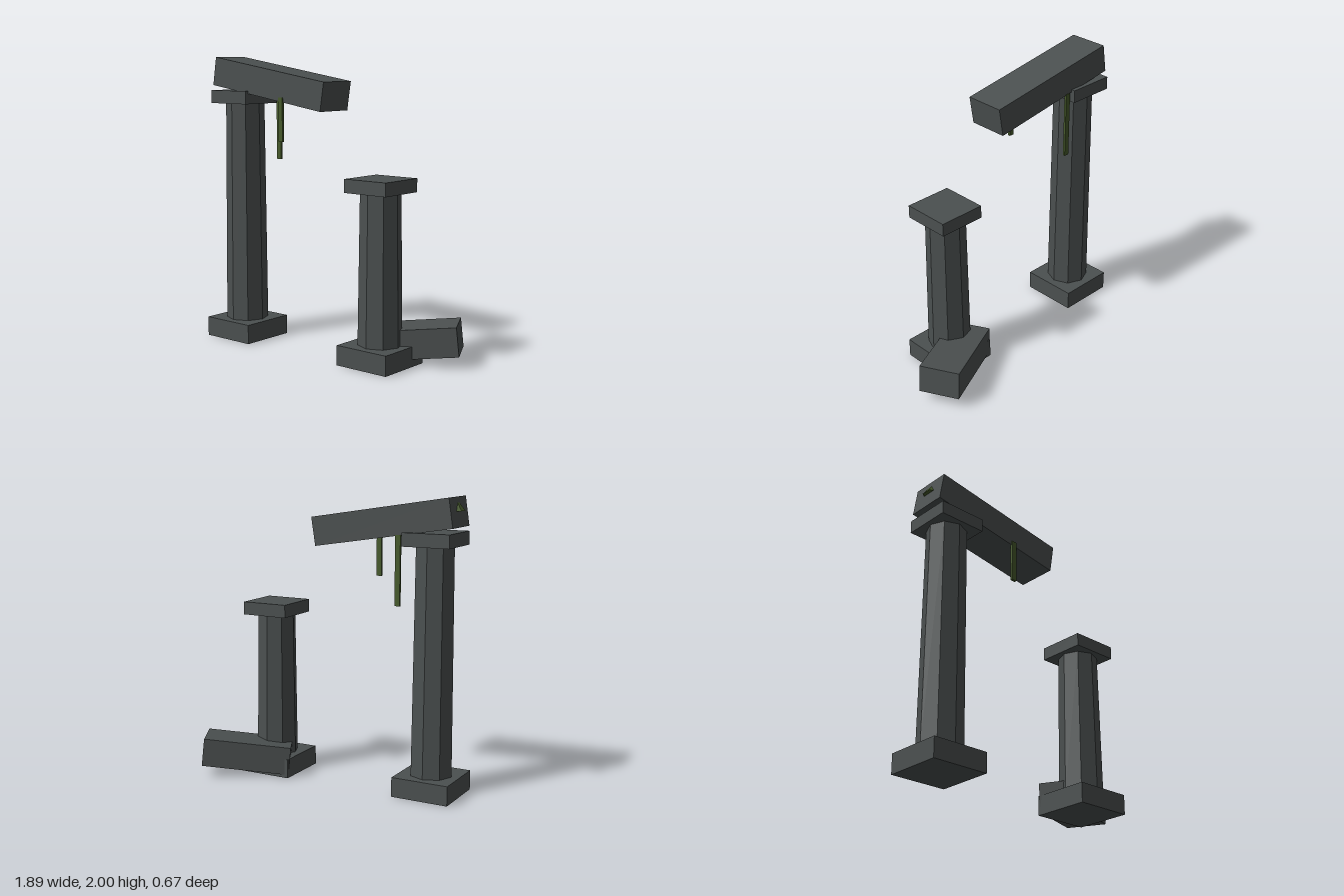
import * as THREE from 'three';

const stone = new THREE.MeshStandardMaterial({ name: 'darkStone', color: 0x4b5050, flatShading: true });
const moss = new THREE.MeshStandardMaterial({ name: 'mossGreen', color: 0x465a2b, flatShading: true });

const DEPTH = 0.136; // z of the colonnade line

function add(parent, name, geometry, material, x, y, z) {
  const mesh = new THREE.Mesh(geometry, material);
  mesh.name = name;
  mesh.position.set(x, y, z);
  parent.add(mesh);
  return mesh;
}

// Square base, tapered octagonal shaft and square capital
function column(name, shaftHeight) {
  const group = new THREE.Group();
  group.name = name;
  const baseH = 0.135, capH = 0.09;
  add(group, 'base', new THREE.BoxGeometry(0.403, baseH, 0.403), stone, 0, baseH / 2, 0);
  add(group, 'shaft', new THREE.CylinderGeometry(0.135, 0.148, shaftHeight, 8), stone, 0, baseH + shaftHeight / 2, 0);
  add(group, 'capital', new THREE.BoxGeometry(0.335, capH, 0.335), stone, 0, baseH + shaftHeight + capH / 2, 0);
  return group;
}

export function createModel() {
  const model = new THREE.Group();
  model.name = 'ruinedColonnade';

  // Tall and broken columns
  const tall = column('tallColumn', 1.545);
  tall.position.set(-0.747, 0, DEPTH);
  const short = column('shortColumn', 1.005);
  short.position.set(0.467, 0, DEPTH);
  model.add(tall, short);

  // Tilted lintel resting on the tall column
  const lintel = add(model, 'lintel', new THREE.BoxGeometry(1.007, 0.197, 0.28), stone, -0.41, 1.825, DEPTH);
  lintel.rotation.z = -0.156;

  // Fallen block leaning on the short column's base
  const block = add(model, 'fallenBlock', new THREE.BoxGeometry(0.615, 0.197, 0.28), stone, 0.595, 0.149, -0.066);
  block.rotation.set(0, 0.48, 0.103, 'YZX');

  // Hanging vines: x, z, bottom, top
  for (const [x, z, bottom, top] of [[-0.543, 0.002, 1.285, 1.75], [-0.275, 0.274, 1.438, 1.735]]) {
    add(model, 'vine', new THREE.BoxGeometry(0.037, top - bottom, 0.017), moss, x, (top + bottom) / 2, z);
  }

  // Moss tuft poking out of the lintel's end
  add(model, 'mossTuft', new THREE.ConeGeometry(0.068, 0.085, 6), moss, -0.875, 1.9525, 0.14);

  return model;
}
